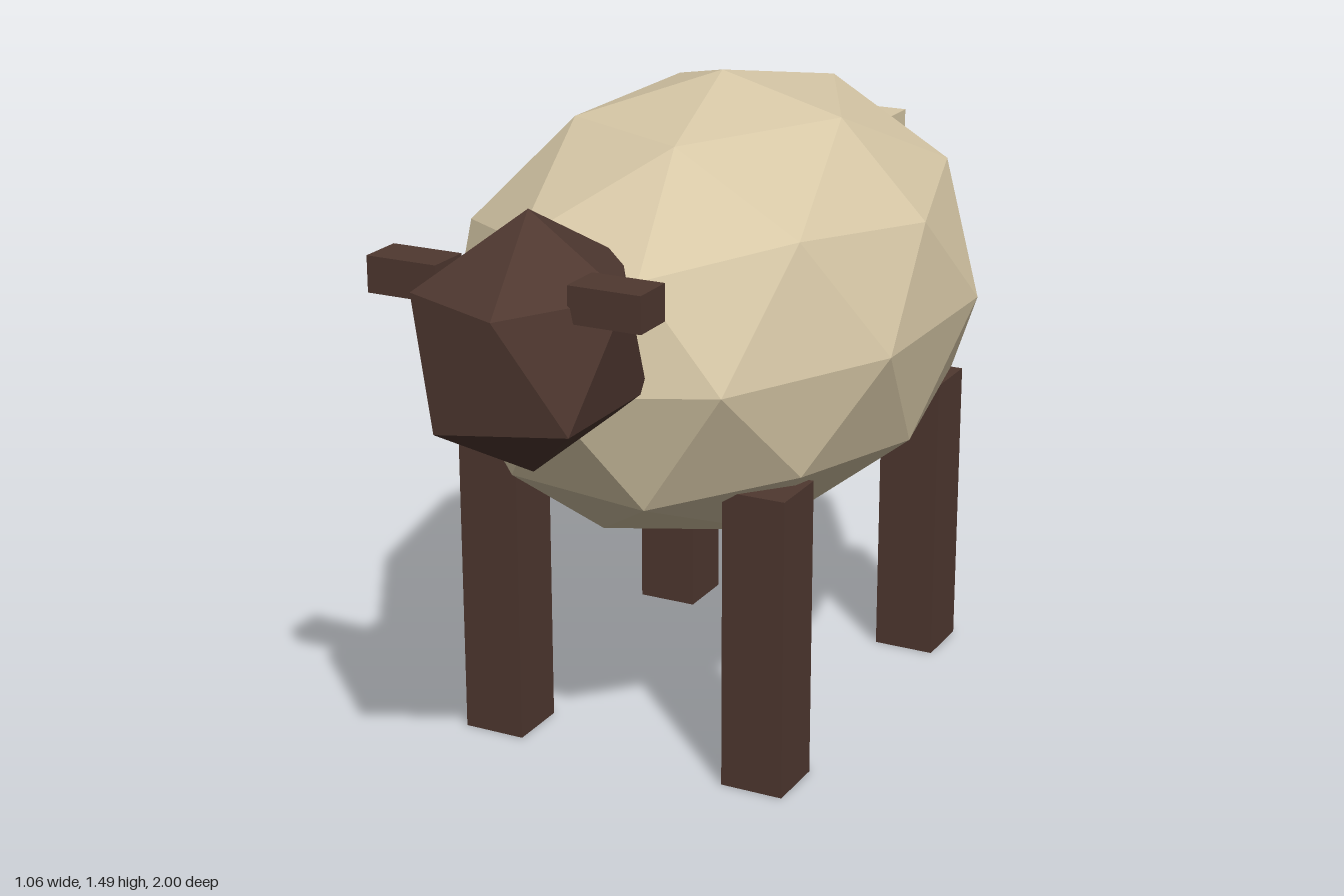
import * as THREE from 'three';

export function createModel() {
  const group = new THREE.Group();
  group.name = 'sheep';

  const wool = new THREE.MeshStandardMaterial({ name: 'cream wool', color: 0xd6c7a6, flatShading: true });
  const skin = new THREE.MeshStandardMaterial({ name: 'dark brown skin', color: 0x4f3830, flatShading: true });

  const add = (name, geometry, material, x, y, z) => {
    const mesh = new THREE.Mesh(geometry, material);
    mesh.name = name;
    mesh.position.set(x, y, z);
    group.add(mesh);
  };

  // Faceted ellipsoid with one corner straight up and an upper-ring corner towards +x
  const facetedBall = (detail, rx, ry, rz) =>
    new THREE.IcosahedronGeometry(1, detail)
      .rotateX(-Math.atan((1 + Math.sqrt(5)) / 2))
      .rotateY(Math.PI / 2)
      .scale(rx, ry, rz);

  // Woolly body and stubby tail
  add('body', facetedBall(1, 0.557, 0.526, 0.815), wool, 0, 0.96, -0.127);
  add('tail', new THREE.BoxGeometry(0.164, 0.265, 0.164), wool, 0, 1.093, -0.918);

  // Head
  add('head', facetedBall(0, 0.246, 0.278, 0.312), skin, 0, 1.093, 0.735);

  // Ears and legs, mirrored left and right
  for (const [side, s] of [['left', 1], ['right', -1]]) {
    add(side + 'Ear', new THREE.BoxGeometry(0.162, 0.078, 0.1), skin, s * 0.231, 1.224, 0.797);
    for (const [end, z] of [['Front', 0.308], ['Back', -0.553]]) {
      add(side + end + 'Leg', new THREE.BoxGeometry(0.147, 0.695, 0.147), skin, s * 0.329, 0.3475, z);
    }
  }

  return group;
}
